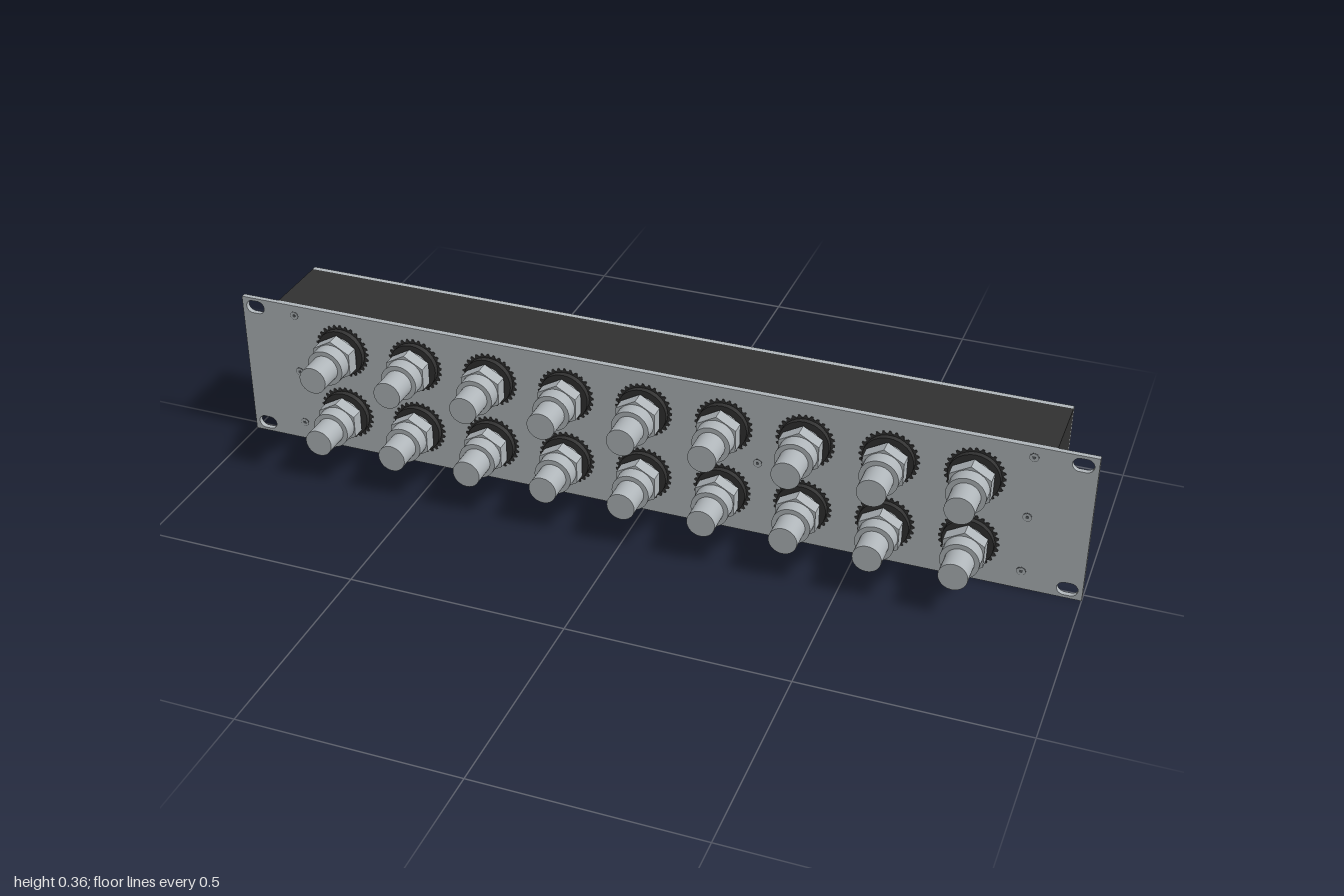
import * as THREE from 'three';

const HEIGHT = 0.361;
const mat = (name, color) => {
  const m = new THREE.MeshStandardMaterial({ color });
  m.name = name;
  return m;
};

export function createModel() {
  const metal = mat('brushed metal', 0xaeb4b8);
  const black = mat('black enamel', 0x303030);
  const recess = mat('dark recess', 0x55595c);
  const model = new THREE.Group();
  model.name = 'connectorPanel';

  const add = (parent, name, geometry, material, x = 0, y = 0, z = 0) => {
    const mesh = new THREE.Mesh(geometry, material);
    mesh.name = name;
    mesh.position.set(x, y, z);
    parent.add(mesh);
    return mesh;
  };

  // Cylinder along z between two depths; few-sided ones get hard facets
  const rod = (radius, z0, z1, sides = 32) => {
    let g = new THREE.CylinderGeometry(radius, radius, z1 - z0, sides);
    g.rotateX(Math.PI / 2).translate(0, 0, (z0 + z1) / 2);
    if (sides < 12) {
      g = g.toNonIndexed();
      g.computeVertexNormals();
    }
    return g;
  };

  // Rack panel with rounded slots in its corners
  const plate = new THREE.Shape();
  plate.moveTo(-1, 0);
  plate.lineTo(1, 0);
  plate.lineTo(1, HEIGHT);
  plate.lineTo(-1, HEIGHT);
  plate.closePath();
  for (const x of [-0.967, 0.967]) {
    for (const y of [0.023, HEIGHT - 0.023]) {
      const slot = new THREE.Path();
      slot.absarc(x + 0.007, y, 0.016, -Math.PI / 2, Math.PI / 2, false);
      slot.absarc(x - 0.007, y, 0.016, Math.PI / 2, Math.PI * 1.5, false);
      slot.closePath();
      plate.holes.push(slot);
    }
  }
  add(model, 'frontPanel', new THREE.ExtrudeGeometry(plate, {
    depth: 0.012, bevelEnabled: false, curveSegments: 8,
  }), metal, 0, 0, 0.011);

  // Enclosure and its rear cover
  add(model, 'enclosure', new THREE.BoxGeometry(1.82, HEIGHT, 0.166), black, 0, HEIGHT / 2, -0.072);
  add(model, 'rearCover', new THREE.BoxGeometry(1.82, HEIGHT, 0.012), metal, 0, HEIGHT / 2, -0.161);

  // Toothed ring lying on the panel around each connector
  const teeth = 28;
  const points = [];
  for (let i = 0; i < teeth * 4; i++) {
    const a = (i / (teeth * 4)) * Math.PI * 2;
    const r = i % 4 < 2 ? 0.067 : 0.061;
    points.push(new THREE.Vector2(Math.cos(a) * r, Math.sin(a) * r));
  }
  const ringGeo = new THREE.ExtrudeGeometry(new THREE.Shape(points), { depth: 0.0015, bevelEnabled: false });

  const connectorParts = [
    ['toothedRing', ringGeo, black],
    ['gasket', rod(0.0575, 0, 0.014), black],
    ['collar', rod(0.042, 0.013, 0.023), metal],
    ['hexNut', rod(0.0525, 0.022, 0.054, 6), metal],
    ['sleeve', rod(0.0437, 0.054, 0.087), metal],
    ['plugTip', rod(0.0325, 0.087, 0.146), metal],
  ];

  // Two rows of nine connectors
  for (const y of [0.098, 0.265]) {
    for (let i = -4; i <= 4; i++) {
      const connector = new THREE.Group();
      connector.name = 'connector';
      connector.position.set(i * 0.1865, y, 0.023);
      for (const [name, geo, material] of connectorParts) add(connector, name, geo, material);
      model.add(connector);
    }
  }

  // Flush screws: dark rim, metal head and hexagonal socket
  const rimGeo = rod(0.013, 0, 0.0006, 20);
  const headGeo = rod(0.0115, 0, 0.0012, 20);
  const socketGeo = rod(0.005, 0, 0.0018, 6);
  const screw = (x, y, z, back, size = 1) => {
    const g = new THREE.Group();
    g.name = back ? 'rearScrew' : 'frontScrew';
    g.position.set(x, y, z);
    if (back) g.rotation.y = Math.PI;
    g.scale.set(size, size, 1);
    add(g, 'screwRim', rimGeo, recess);
    add(g, 'screwHead', headGeo, metal);
    add(g, 'screwSocket', socketGeo, recess);
    model.add(g);
  };

  for (const side of [-1, 1]) {
    for (const y of [0.045, 0.185, 0.335]) screw(side * 0.865, y, 0.023, false, 0.8);
    screw(side * 0.267, 0.185, 0.023, false, 0.8);
    for (const y of [0.095, 0.262]) screw(side * 0.885, y, -0.167, true);
  }
  for (let i = -4; i <= 4; i++) {
    for (const y of [0.02, HEIGHT / 2, HEIGHT - 0.02]) screw(i * 0.184, y, -0.167, true);
  }

  return model;
}
